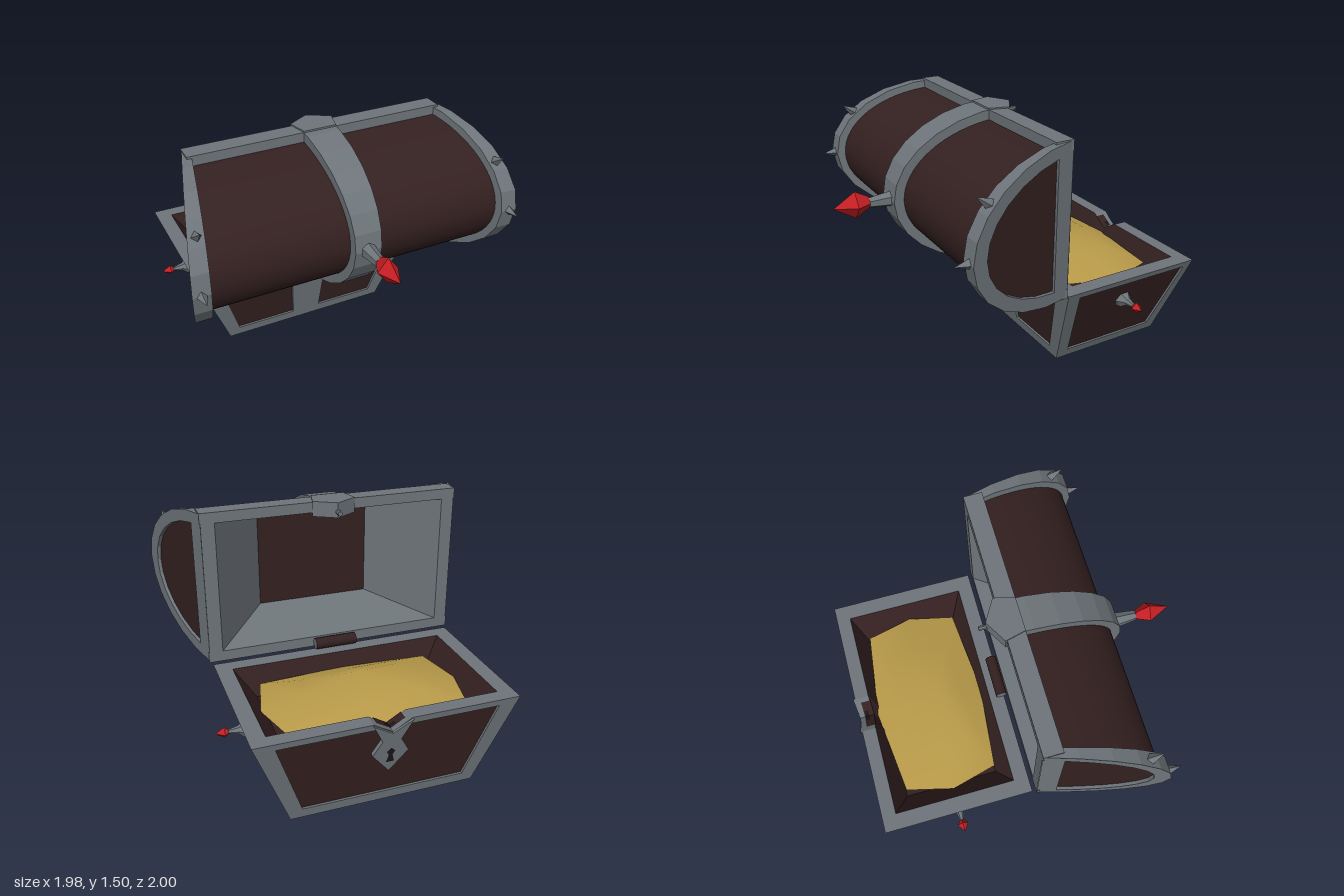
import * as THREE from 'three';
import { mergeVertices } from 'three/addons/utils/BufferGeometryUtils.js';

const material = (name, color) => new THREE.MeshStandardMaterial({ name, color, side: THREE.DoubleSide });

// Triangles joining two loops of equal length, and a fan filling one loop
function strip(a, b, closed = true) {
  const out = [];
  for (let i = 0; i < a.length - (closed ? 0 : 1); i++) {
    const j = (i + 1) % a.length;
    out.push(a[i], a[j], b[j], a[i], b[j], b[i]);
  }
  return out;
}
function fan(loop) {
  const out = [];
  for (let i = 1; i < loop.length - 1; i++) out.push(loop[0], loop[i], loop[i + 1]);
  return out;
}
const shift = (loop, d) => loop.map((p) => p.map((v, i) => v + d[i]));

export function createModel() {
  const iron = material('iron', 0x6e757a);
  const wood = material('darkWood', 0x342020);
  const gold = material('gold', 0xb89a49);
  const ruby = material('ruby', 0xc41e22);
  const dark = material('keyholeBlack', 0x1a1516);

  const root = new THREE.Group();
  root.name = 'treasureChest';
  const base = new THREE.Group();
  base.name = 'base';
  const lid = new THREE.Group();
  lid.name = 'openLid';
  root.add(base, lid);

  function add(parent, name, geo, mat) {
    const mesh = new THREE.Mesh(geo, mat);
    mesh.name = name;
    parent.add(mesh);
    return mesh;
  }
  function surface(parent, name, tris, mat, smooth = false) {
    let geo = new THREE.BufferGeometry();
    geo.setAttribute('position', new THREE.Float32BufferAttribute(tris.flat(), 3));
    if (smooth) geo = mergeVertices(geo);
    geo.computeVertexNormals();
    return add(parent, name, geo, mat);
  }
  // Iron border around a sunken wooden panel
  function framed(parent, name, outer, inner, sink) {
    const sunk = shift(inner, sink);
    surface(parent, name + 'Frame', [...strip(outer, inner), ...strip(inner, sunk)], iron);
    surface(parent, name + 'Panel', fan(sunk), wood);
  }
  // Faceted turned part: profile of [radius, height], pointing along dir
  function turned(parent, name, profile, sides, mat, pos, dir) {
    const geo = new THREE.LatheGeometry(profile.map(([r, h]) => new THREE.Vector2(r, h)), sides).toNonIndexed();
    geo.computeVertexNormals();
    const mesh = add(parent, name, geo, mat);
    mesh.position.set(...pos);
    mesh.quaternion.setFromUnitVectors(new THREE.Vector3(0, 1, 0), new THREE.Vector3(...dir).normalize());
    return mesh;
  }

  // ---- Base: tapered box ----
  const H = 0.565, ZC = -0.525, TAPER = 0.087;
  const halfX = (y) => 0.55 + 0.217 * y / H;
  const halfZ = (y) => 0.375 + TAPER * y / H;
  const backZ = (y) => ZC - halfZ(y);
  const lo = 0.06, hi = 0.525;

  for (const s of [-1, 1]) {
    const end = (y, q, inset) => [s * halfX(y), y, ZC + q * (halfZ(y) - inset)];
    framed(base, s > 0 ? 'leftEnd' : 'rightEnd',
      [end(0, -1, 0), end(0, 1, 0), end(H, 1, 0), end(H, -1, 0)],
      [end(lo, -1, 0.07), end(lo, 1, 0.075), end(hi, 1, 0.085), end(hi, -1, 0.05)], [-0.015 * s, 0, 0]);

    // Hinge side, one half each, with the central post left between them
    const hs = (x, y) => [s * x, y, ZC + halfZ(y)];
    framed(base, s > 0 ? 'hingeSideLeft' : 'hingeSideRight',
      [hs(0, 0), hs(halfX(0), 0), hs(halfX(H), H), hs(0, H)],
      [hs(0.095, lo), hs(halfX(lo) - 0.09, lo), hs(halfX(hi) - 0.12, hi), hs(0.125, hi)], [0, 0, -0.015]);

    // Gem handles
    turned(base, 'handleMount', [[0.06, -0.03], [0.05, 0.01], [0.025, 0.04], [0.012, 0.1], [0, 0.1]], 6, iron,
      [s * 0.69, 0.385, -0.525], [s, 0, 0]);
    turned(base, 'handleGem', [[0, 0], [0.034, 0.04], [0, 0.09]], 4, ruby, [s * 0.772, 0.385, -0.525], [s, 0, 0]);
  }

  // Lock side, with a V notch in its top edge
  const bk = (x, y) => [x, y, backZ(y)];
  framed(base, 'lockSide',
    [bk(-halfX(0), 0), bk(halfX(0), 0), bk(halfX(H), H), bk(0.11, H), bk(0, 0.5), bk(-0.11, H), bk(-halfX(H), H)],
    [bk(-halfX(lo) + 0.09, lo), bk(halfX(lo) - 0.09, lo), bk(halfX(hi) - 0.11, hi), bk(0.1, hi), bk(0, 0.45),
      bk(-0.1, hi), bk(-halfX(hi) + 0.11, hi)], [0, 0, 0.015]);

  const rect = (x, z, y) => [[-x, y, ZC - z], [x, y, ZC - z], [x, y, ZC + z], [-x, y, ZC + z]];
  framed(base, 'bottom', rect(0.55, 0.375, 0), rect(0.47, 0.3, 0), [0, 0.015, 0]);

  // Rim and inner walls, down to just under the gold
  const ring = (x, z0, z1, y, notch) => [[-x, y, z1], [x, y, z1], [x, y, z0], [0.11, y, z0],
    [0, notch, z0], [-0.11, y, z0], [-x, y, z0]];
  const rimIn = ring(0.67, -0.9, -0.155, H, 0.5);
  const ledge = ring(0.55, -0.82, -0.24, 0.4, 0.4);
  surface(base, 'rim', strip(ring(halfX(H), backZ(H), ZC + halfZ(H), H, 0.5), rimIn), iron);
  surface(base, 'innerWalls', [...strip(rimIn, ledge), ...fan(ledge)], wood);

  // Wooden lining and catch hole in the notch
  const inNotch = (k, z0, z1, lift) => {
    const edge = (z) => [[-0.11 * k, 0.5 + 0.065 * k + lift, z], [0, 0.5 + lift, z], [0.11 * k, 0.5 + 0.065 * k + lift, z]];
    return strip(edge(z0), edge(z1), false);
  };
  surface(base, 'notchLining', inNotch(0.75, -0.955, -0.895, 0.004), wood);
  surface(base, 'catchHole', inNotch(0.28, -0.95, -0.925, 0.008), dark);

  // Heap of gold
  const heap = (k, yMid, yCorner) => [[-0.6, 0], [-0.53, 0.285], [0, 0.335], [0.53, 0.285], [0.6, 0], [0.53, -0.285],
    [0, -0.35], [-0.53, -0.285]].map(([x, z], i) => [x * k, i % 2 ? yCorner : yMid, ZC + z * k]);
  const mid = heap(0.6, 0.535, 0.53);
  const peak = [0, 0.58, -0.45];
  surface(base, 'goldHeap', [...strip(heap(1, 0.475, 0.485), mid), ...strip(mid, mid.map(() => peak))], gold, true);

  // Lock plate and keyhole on the sloping wall
  const lock = new THREE.Group();
  lock.name = 'lock';
  const plate = new THREE.Shape([[0, 0.23], [0.105, 0.36], [0.055, 0.45], [0.115, 0.57], [0, 0.5], [-0.115, 0.57],
    [-0.055, 0.45], [-0.105, 0.36]].map(([x, y]) => new THREE.Vector2(x, y)));
  add(lock, 'lockPlate', new THREE.ExtrudeGeometry(plate, { depth: 0.025, bevelEnabled: false }), iron);
  const hole = new THREE.Shape([[-0.024, 0.3], [0.024, 0.3], [0.011, 0.35], [0.025, 0.375], [0, 0.4], [-0.025, 0.375],
    [-0.011, 0.35]].map(([x, y]) => new THREE.Vector2(x, y)));
  add(lock, 'keyhole', new THREE.ShapeGeometry(hole), dark).position.z = 0.027;
  lock.position.z = -0.888;
  lock.rotation.set(Math.atan(TAPER / H), Math.PI, 0, 'YXZ');
  base.add(lock);

  // Hinge
  const hinge = add(root, 'hinge', new THREE.CylinderGeometry(0.035, 0.035, 0.26, 12), [wood, iron, iron]);
  hinge.rotation.z = Math.PI / 2;
  hinge.position.set(0, 0.605, -0.08);

  // ---- Lid: half barrel lying on its back, flaring toward the front ----
  const YC = 1.035, Z0 = -0.04;
  const flare = (z) => 0.78 + 0.3 * (z - Z0);
  // Half ellipse from bottom to top, starting at zMin; x given by a rule
  function arc(a, b, zMin, n, xAt) {
    const t0 = Math.acos((zMin - Z0) / a);
    return Array.from({ length: n + 1 }, (_, i) => {
      const t = -t0 + 2 * t0 * i / n;
      const z = Z0 + a * Math.cos(t);
      return [xAt(z, t), YC + b * Math.sin(t), z];
    });
  }
  surface(lid, 'barrel', strip(arc(0.65, 0.41, 0.03, 32, (z) => -flare(z) + 0.03),
    arc(0.65, 0.41, 0.03, 32, (z) => flare(z) - 0.03), false), wood, true);

  for (const s of [-1, 1]) {
    const edge = (z) => s * flare(z), inside = (z) => s * (flare(z) - 0.05 - 0.08 * Math.max(z, 0));
    const outer = arc(0.7, 0.458, Z0, 12, edge);
    framed(lid, s > 0 ? 'leftLidEnd' : 'rightLidEnd', outer, arc(0.61, 0.388, 0.07, 12, edge), [-0.02 * s, 0, 0]);
    const inner = arc(0.7, 0.458, Z0, 12, inside);
    surface(lid, 'endBand', [...strip(outer, inner, false),
      ...strip(inner, arc(0.63, 0.39, Z0, 12, inside), false)], iron);
    // Spikes on the band
    for (const t of [0, 0.62]) {
      const z = Z0 + 0.68 * Math.cos(t);
      turned(lid, 'spike', [[0.034, -0.01], [0.026, 0.025], [0, 0.1]], 4, iron,
        [s * (flare(z) - 0.045), YC + 0.445 * Math.sin(t), z], [0, Math.sin(t), Math.cos(t)]);
    }
    // Rim bars above and below the opening
    add(lid, 'rimBar', new THREE.BoxGeometry(1.57, 0.06, 0.11), iron).position.set(0, YC + s * 0.432, 0.015);
  }

  // Central band
  const bandX = (s) => (z, t) => s * (0.08 + 0.022 * Math.sin(t) ** 2);
  const band = (s, a, b) => arc(a, b, Z0, 14, bandX(s));
  surface(lid, 'centreBand', [...strip(band(-1, 0.71, 0.468), band(1, 0.71, 0.468), false),
    ...[-1, 1].flatMap((s) => strip(band(s, 0.71, 0.468), band(s, 0.64, 0.4), false))], iron);

  // Opening frame and tapered hollow
  const open = (x, y0, y1, z) => [[-x, y0, z], [x, y0, z], [x, y1, z], [-x, y1, z]];
  const mouth = open(0.7, 0.635, 1.435, Z0 - 0.002);
  const deep = open(0.36, 0.727, 1.343, 0.36);
  surface(lid, 'openingFrame', strip(open(0.78, 0.57, 1.497, Z0 - 0.002), mouth), iron);
  surface(lid, 'innerLining', strip(mouth, deep), iron);
  surface(lid, 'innerBack', fan(deep), wood);

  // Clasp on the lid edge
  const clasp = new THREE.Shape([[-0.13, 0.05], [-0.1, -0.07], [0.1, -0.07], [0.13, 0.05], [0, 0.125]]
    .map(([x, y]) => new THREE.Vector2(x, y)));
  const claspMesh = add(lid, 'clasp', new THREE.ExtrudeGeometry(clasp, { depth: 0.09, bevelEnabled: false }), iron);
  claspMesh.rotation.x = -Math.PI / 2;
  claspMesh.position.y = 1.415;
  turned(lid, 'claspPin', [[0.014, 0], [0.014, 0.06], [0, 0.06]], 8, iron, [0, 1.45, -0.105], [0, 0, -1]);

  // Front gem on its stem
  turned(lid, 'gemStem', [[0.055, -0.02], [0.045, 0.01], [0.03, 0.13], [0, 0.13]], 6, iron, [0, 1.035, 0.66], [0, 0, 1]);
  const gem = turned(lid, 'frontGem', [[0, 0], [0.035, 0.01], [0.08, 0.09], [0, 0.22]], 4, ruby, [0, 1.038, 0.78], [0, 0, 1]);
  gem.scale.x = 0.77;

  return root;
}
